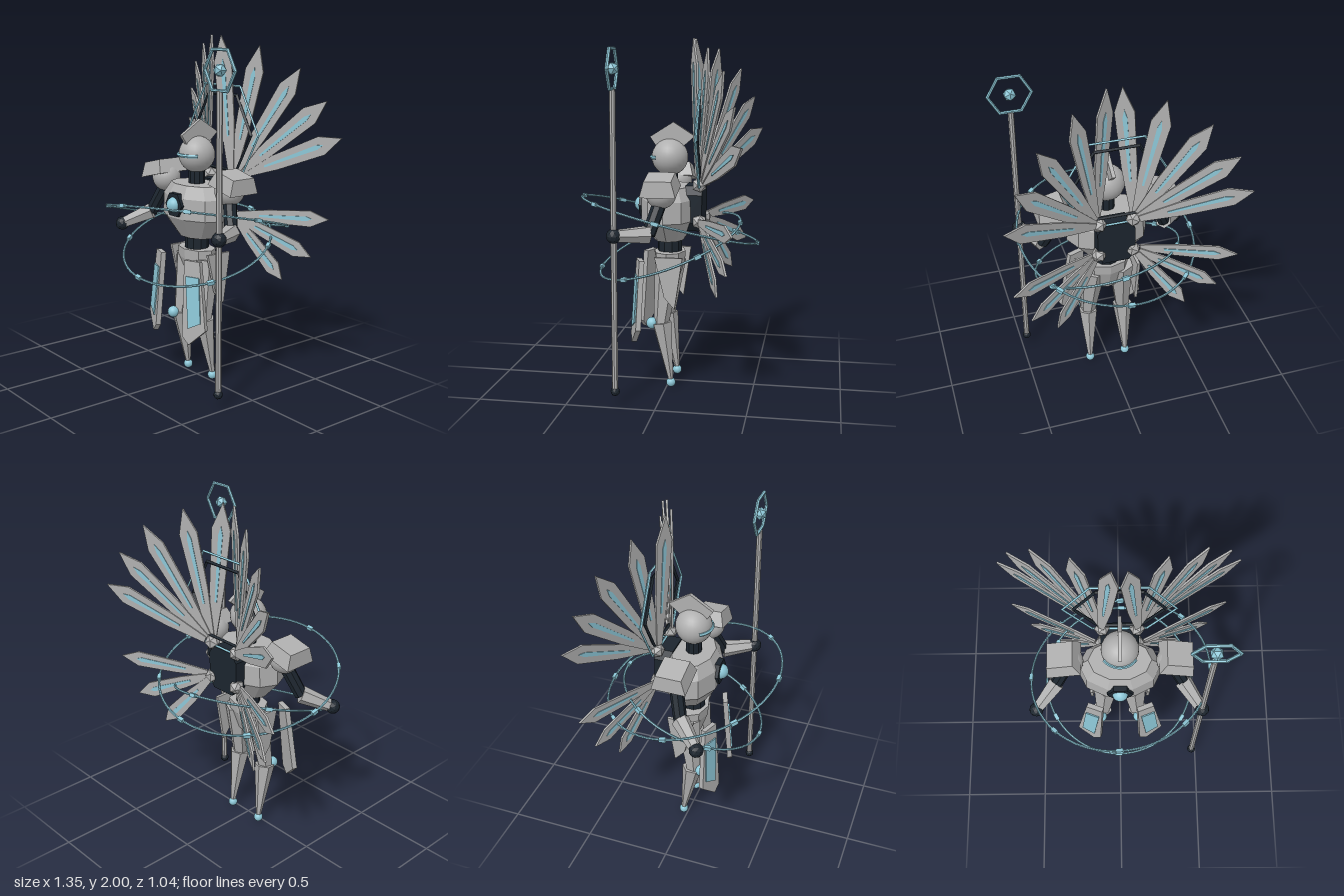
import * as THREE from 'three';

const paint = (name, color, flatShading = true) => {
  const m = new THREE.MeshStandardMaterial({ color, flatShading });
  m.name = name;
  return m;
};

export function createModel() {
  const root = new THREE.Group();
  root.name = 'wingedGuardian';
  const grey = paint('plate grey', 0xb0b0b0);
  const smoothGrey = paint('smooth grey', 0xb0b0b0, false);
  const dark = paint('joint black', 0x1c252e);
  const blue = paint('glow blue', 0x8cc6d6);
  const smoothBlue = paint('smooth blue', 0x8cc6d6, false);

  const add = (name, geo, mat, pos = [0, 0, 0], parent = root) => {
    const m = new THREE.Mesh(geo, mat);
    m.name = name;
    m.position.set(...pos);
    parent.add(m);
    return m;
  };
  const ball = (name, r, mat, pos) => add(name, new THREE.SphereGeometry(r, 24, 16), mat, pos);
  const gemBall = (name, r, mat, pos) => add(name, new THREE.IcosahedronGeometry(r, 1), mat, pos);
  // Tapered limb running from point a to point b
  const limb = (name, a, b, ra, rb, sides, mat) => {
    const A = new THREE.Vector3(...a), B = new THREE.Vector3(...b), d = B.clone().sub(A);
    const m = add(name, new THREE.CylinderGeometry(rb, ra, d.length(), sides), mat);
    m.position.copy(A).add(B).multiplyScalar(0.5);
    m.quaternion.setFromUnitVectors(new THREE.Vector3(0, 1, 0), d.normalize());
    return m;
  };
  // Thin plate from an outline, centred on its own thickness
  const plate = (pts, depth) => new THREE.ExtrudeGeometry(
    new THREE.Shape(pts.map(p => new THREE.Vector2(...p))), { depth, bevelEnabled: false }
  ).translate(0, 0, -depth / 2);
  const faceted = (pts, sides, depthScale) => new THREE.LatheGeometry(
    pts.map(p => new THREE.Vector2(...p)), sides).rotateY(Math.PI / 2).scale(1, 1, depthScale);

  // Head
  ball('head', 0.105, smoothGrey, [0, 1.335, 0]);
  const visorArc = 1.9;
  add('visor', new THREE.TorusGeometry(0.105, 0.011, 6, 16, visorArc)
    .rotateZ(Math.PI / 2 - visorArc / 2).rotateX(Math.PI / 2), blue, [0, 1.335, 0]);
  add('crest', plate([[-0.115, 1.45], [-0.075, 1.39], [0.07, 1.39], [0.145, 1.455], [0.02, 1.535]], 0.022)
    .rotateY(Math.PI / 2), grey);
  limb('neck', [0, 1.15, 0], [0, 1.25, 0], 0.047, 0.047, 10, dark);

  // Torso, waist and hips
  add('torso', faceted([[0, 0.86], [0.13, 0.86], [0.24, 0.98], [0.235, 1.1], [0.18, 1.17], [0, 1.17]], 10, 0.68), grey);
  add('chestSocket', new THREE.CylinderGeometry(0.075, 0.075, 0.04, 6).rotateX(Math.PI / 2).rotateZ(Math.PI / 6),
    dark, [0, 1.06, 0.15]);
  ball('chestGem', 0.045, smoothBlue, [0, 1.06, 0.163]);
  limb('waist', [0, 0.77, 0], [0, 0.88, 0], 0.07, 0.07, 10, dark);
  add('pelvis', faceted([[0, 0.6], [0.065, 0.6], [0.13, 0.73], [0.135, 0.79], [0, 0.79]], 8, 0.68), grey);

  // Backpack
  add('backpack', plate([[-0.075, 0.92], [0.075, 0.92], [0.11, 0.97], [0.11, 1.13], [0.075, 1.18],
    [-0.075, 1.18], [-0.11, 1.13], [-0.11, 0.97]], 0.1), dark, [0, 0, -0.15]);

  // Hexagonal halos behind the head
  add('outerHalo', new THREE.TorusGeometry(0.31, 0.008, 4, 6), blue, [0, 1.45, -0.19]);
  add('innerHalo', new THREE.TorusGeometry(0.25, 0.011, 4, 6), dark, [0, 1.45, -0.19]);

  // Feather blade with a glowing inlay
  const feather = (parent, length, width, angle, lift) => {
    const L = length, w = width, f = new THREE.Group();
    f.name = 'feather';
    f.rotation.z = angle;
    f.position.z = lift;
    add('featherBlade', plate([[-0.018, 0.04], [0.018, 0.04], [w * 0.8, L * 0.4], [w, L * 0.82], [0, L],
      [-w, L * 0.82], [-w * 0.8, L * 0.4]], 0.012), grey, [0, 0, 0], f);
    add('featherInlay', plate([[-0.006, L * 0.3], [0.006, L * 0.3], [0.013, L * 0.78], [0, L * 0.84],
      [-0.013, L * 0.78]], 0.019), blue, [0, 0, 0], f);
    parent.add(f);
  };
  const fans = [
    { name: 'upperWing', y: 1.19, w: 0.054, set: [[-5, 0.815], [12, 0.775], [32, 0.755], [50, 0.725], [67.5, 0.695]] },
    { name: 'lowerWing', y: 0.98, w: 0.046, set: [[88, 0.59], [113, 0.53], [139, 0.48]] },
  ];

  for (const s of [-1, 1]) {
    const side = s > 0 ? 'left' : 'right';

    // Wings
    for (const fan of fans) {
      const wing = new THREE.Group();
      wing.name = side + fan.name;
      wing.position.set(s * 0.1, fan.y, -0.185);
      wing.rotation.y = s * 0.447;
      fan.set.forEach(([deg, len], i) =>
        feather(wing, len, fan.w, -s * THREE.MathUtils.degToRad(deg), 0.014 - i * 0.007));
      add('wingRoot', new THREE.IcosahedronGeometry(0.045, 0), grey, [0, 0, 0], wing);
      root.add(wing);
    }

    // Shoulder and tilted pauldron
    ball(side + 'Shoulder', 0.085, smoothGrey, [s * 0.29, 1.165, 0]);
    const pauldron = add(side + 'Pauldron', new THREE.CylinderGeometry(0.105, 0.14, 0.085, 4)
      .rotateY(Math.PI / 4), grey, [s * 0.325, 1.22, 0]);
    pauldron.rotation.z = -s * 0.24;

    // Arm
    const elbow = [s * 0.37, 0.95, 0.055];
    const hand = s > 0 ? [0.47, 0.955, 0.225] : [-0.49, 0.87, 0.19];
    limb(side + 'UpperArm', [s * 0.29, 1.13, 0], elbow, 0.04, 0.038, 8, dark);
    limb(side + 'Forearm', elbow, hand, 0.052, 0.034, 6, grey);
    gemBall(side + 'Hand', 0.042, dark, hand);

    // Leg
    limb(side + 'Thigh', [s * 0.085, 0.73, -0.005], [s * 0.11, 0.36, 0.035], 0.078, 0.042, 6, grey);
    limb(side + 'Shin', [s * 0.11, 0.385, 0.03], [s * 0.115, 0.04, -0.025], 0.06, 0.015, 6, grey);
    ball(side + 'Knee', 0.034, smoothBlue, [s * 0.118, 0.38, 0.085]);
    ball(side + 'FootTip', 0.027, smoothBlue, [s * 0.115, 0.027, -0.025]);

    // Front skirt plate with blue panel
    const skirt = new THREE.Group();
    skirt.name = side + 'FrontSkirt';
    skirt.position.set(s * 0.18, 0.52, 0.155);
    skirt.rotation.set(-0.08, s * 0.36, 0, 'YXZ');
    const flip = pts => pts.map(([x, y]) => [s * x, y]);
    add('skirtPlate', plate(flip([[-0.075, 0.24], [0.025, 0.24], [0.08, -0.15], [-0.025, -0.245], [-0.07, -0.2]]), 0.03),
      grey, [0, 0, 0], skirt);
    add('skirtPanel', plate(flip([[-0.058, 0.15], [0.028, 0.15], [0.05, -0.11], [-0.03, -0.15]]), 0.009),
      blue, [0, 0, 0.018], skirt);
    root.add(skirt);

    // Side skirt plate
    const sideSkirt = add(side + 'SideSkirt', plate([[-0.06, 0.78], [0.1, 0.78], [0.055, 0.48], [-0.005, 0.55]], 0.018)
      .rotateY(Math.PI / 2), grey, [s * 0.17, 0, 0]);
    sideSkirt.rotation.y = 0;
  }

  // Staff
  limb('staffPole', [0.47, 0.08, 0.225], [0.47, 1.735, 0.225], 0.017, 0.017, 8, grey);
  gemBall('staffFoot', 0.026, dark, [0.47, 0.085, 0.225]);
  add('staffHexagon', new THREE.TorusGeometry(0.12, 0.01, 6, 6), blue, [0.47, 1.84, 0.225]);
  add('staffCrystal', new THREE.IcosahedronGeometry(0.037, 0), blue, [0.47, 1.84, 0.225]);

  // Tilted orbit rings with clasps: radius, centre height, slope along x and z, clasp count
  for (const [r, y, a, b, n] of [[0.523, 0.975, 0.12, 0.245, 8], [0.435, 0.82, -0.16, -0.36, 6]]) {
    const orbit = new THREE.Group();
    orbit.name = 'orbitRing';
    orbit.position.y = y;
    orbit.quaternion.setFromUnitVectors(new THREE.Vector3(0, 1, 0), new THREE.Vector3(-a, 1, -b).normalize());
    add('ringBand', new THREE.TorusGeometry(r, 0.007, 6, 64).rotateX(Math.PI / 2), blue, [0, 0, 0], orbit);
    for (let i = 0; i < n; i++) {
      const t = i / n * Math.PI * 2;
      const clasp = add('ringClasp', new THREE.BoxGeometry(0.04, 0.022, 0.022), blue,
        [Math.sin(t) * r, 0, Math.cos(t) * r], orbit);
      clasp.rotation.y = t;
    }
    root.add(orbit);
  }
  return root;
}
